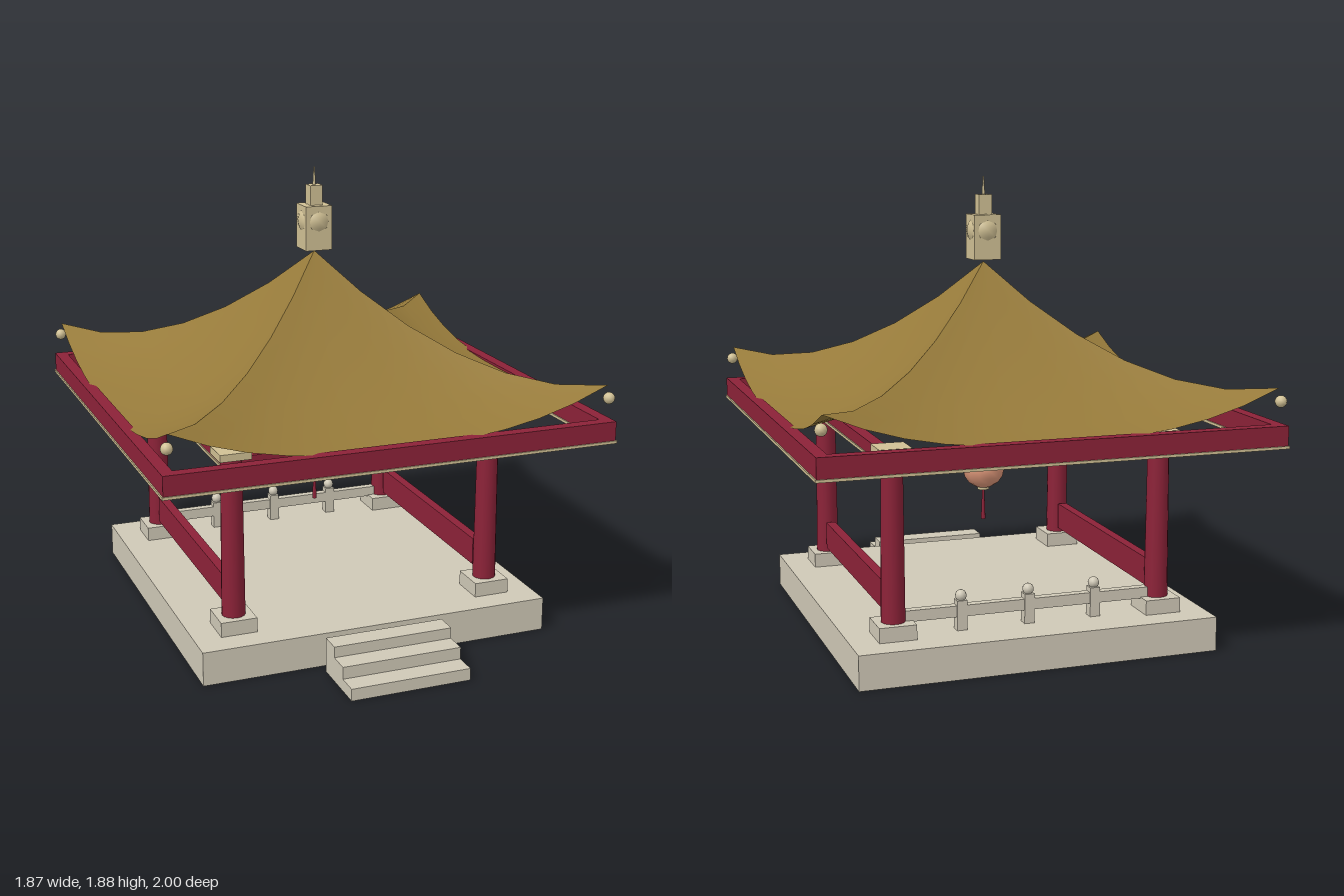
import * as THREE from 'three';

const mat = (name, color, extra = {}) => {
  const m = new THREE.MeshStandardMaterial({ color, ...extra });
  m.name = name;
  return m;
};

export function createModel() {
  const stone = mat('stone', 0xcfc8b6);
  const red = mat('red lacquer', 0x8c2238);
  const tile = mat('roof gold', 0x967a3a, { side: THREE.DoubleSide });
  const trim = mat('pale gold trim', 0xd0c094);
  const paper = mat('lantern paper', 0xdf987a);

  const model = new THREE.Group();
  model.name = 'pavilion';
  const pavilion = new THREE.Group(); // everything but the steps is centred on this
  pavilion.name = 'pavilionBody';
  pavilion.position.z = -0.06;
  model.add(pavilion);

  const add = (name, geo, material, x = 0, y = 0, z = 0, parent = pavilion) => {
    const m = new THREE.Mesh(geo, material);
    m.name = name;
    m.position.set(x, y, z);
    parent.add(m);
    return m;
  };
  // box given by its bottom height
  const box = (name, material, w, h, d, x, y0, z, parent) =>
    add(name, new THREE.BoxGeometry(w, h, d), material, x, y0 + h / 2, z, parent);

  // platform and front steps
  box('platform', stone, 1.48, 0.14, 1.48, 0, 0, 0);
  const profile = new THREE.Shape([
    [0, 0], [0.27, 0], [0.27, 0.05], [0.18, 0.05], [0.18, 0.1], [0.09, 0.1], [0.09, 0.145], [0, 0.145],
  ].map(([x, y]) => new THREE.Vector2(x, y)));
  const steps = new THREE.ExtrudeGeometry(profile, { depth: 0.5, bevelEnabled: false });
  steps.rotateY(-Math.PI / 2);
  add('frontSteps', steps, stone, 0.25, 0, 0.73, model);

  // columns with plinths and capitals
  const C = 0.555;
  for (const sx of [-1, 1]) for (const sz of [-1, 1]) {
    box('plinth', stone, 0.15, 0.06, 0.15, sx * C, 0.14, sz * C);
    add('column', new THREE.CylinderGeometry(0.043, 0.048, 0.66, 16), red, sx * C, 0.53, sz * C);
    box('capital', trim, 0.13, 0.03, 0.13, sx * C, 0.86, sz * C);
    add('eaveBead', new THREE.SphereGeometry(0.024, 12, 8), trim, sx * 0.905, 1.038, sz * 0.905);
  }

  // square rings of beams: side beams run through, front and back fit between
  const ring = (name, material, r, w, y0, h, overhang) => {
    for (const s of [-1, 1]) {
      box(name, material, w, h, 2 * (r + overhang), s * r, y0, 0);
      box(name, material, 2 * r - w, h, w, 0, y0, s * r);
    }
  };
  ring('eaveBeam', red, 0.905, 0.05, 0.866, 0.079, 0.025);
  ring('eaveBeamTrim', trim, 0.905, 0.06, 0.855, 0.011, 0.03);
  ring('innerBeam', red, C, 0.05, 0.812, 0.05, 0);
  ring('innerBeamTrim', trim, C, 0.06, 0.801, 0.011, 0);

  // side panels
  for (const s of [-1, 1]) box('sidePanel', red, 0.04, 0.115, 0.97, s * C, 0.225, 0);

  // back railing
  box('backRail', stone, 1.04, 0.045, 0.035, 0, 0.195, -C);
  for (const x of [-0.28, 0, 0.28]) {
    box('railPost', stone, 0.042, 0.12, 0.042, x, 0.14, -C);
    add('railKnob', new THREE.SphereGeometry(0.023, 12, 8), stone, x, 0.277, -C);
  }

  // one sweeping roof slope, turned to all four sides
  const slope = new THREE.PlaneGeometry(1, 1, 12, 6);
  const p = slope.attributes.position;
  for (let i = 0; i < p.count; i++) {
    const t = p.getX(i) * 2;
    const s = 0.5 - p.getY(i);
    const y = 0.93 + 0.6 * Math.pow(1 - s, 1.7) + 0.16 * s * s * Math.pow(Math.abs(t), 2.6);
    p.setXYZ(i, 0.9 * s * t, y, 0.9 * s);
  }
  slope.computeVertexNormals();
  for (let k = 0; k < 4; k++) add('roofSlope', slope, tile).rotation.y = k * Math.PI / 2;

  // finial
  box('finialBlock', trim, 0.115, 0.185, 0.115, 0, 1.54, 0);
  add('finialBall', new THREE.SphereGeometry(0.072, 12, 8), trim, 0, 1.66, 0);
  box('finialCap', trim, 0.055, 0.082, 0.055, 0, 1.725, 0);
  add('finialSpire', new THREE.CylinderGeometry(0.003, 0.007, 0.075, 8), trim, 0, 1.843, 0);

  // hanging lantern
  const lantern = new THREE.Group();
  lantern.name = 'lantern';
  lantern.position.y = 0.652;
  pavilion.add(lantern);
  add('lanternShade', new THREE.SphereGeometry(0.09, 12, 8), paper, 0, 0, 0, lantern).scale.y = 0.95;
  add('lanternTop', new THREE.CylinderGeometry(0.034, 0.034, 0.018, 12), trim, 0, 0.088, 0, lantern);
  add('lanternBase', new THREE.CylinderGeometry(0.026, 0.026, 0.014, 12), trim, 0, -0.085, 0, lantern);
  add('lanternTassel', new THREE.CylinderGeometry(0.005, 0.01, 0.13, 8), red, 0, -0.157, 0, lantern);

  return model;
}
